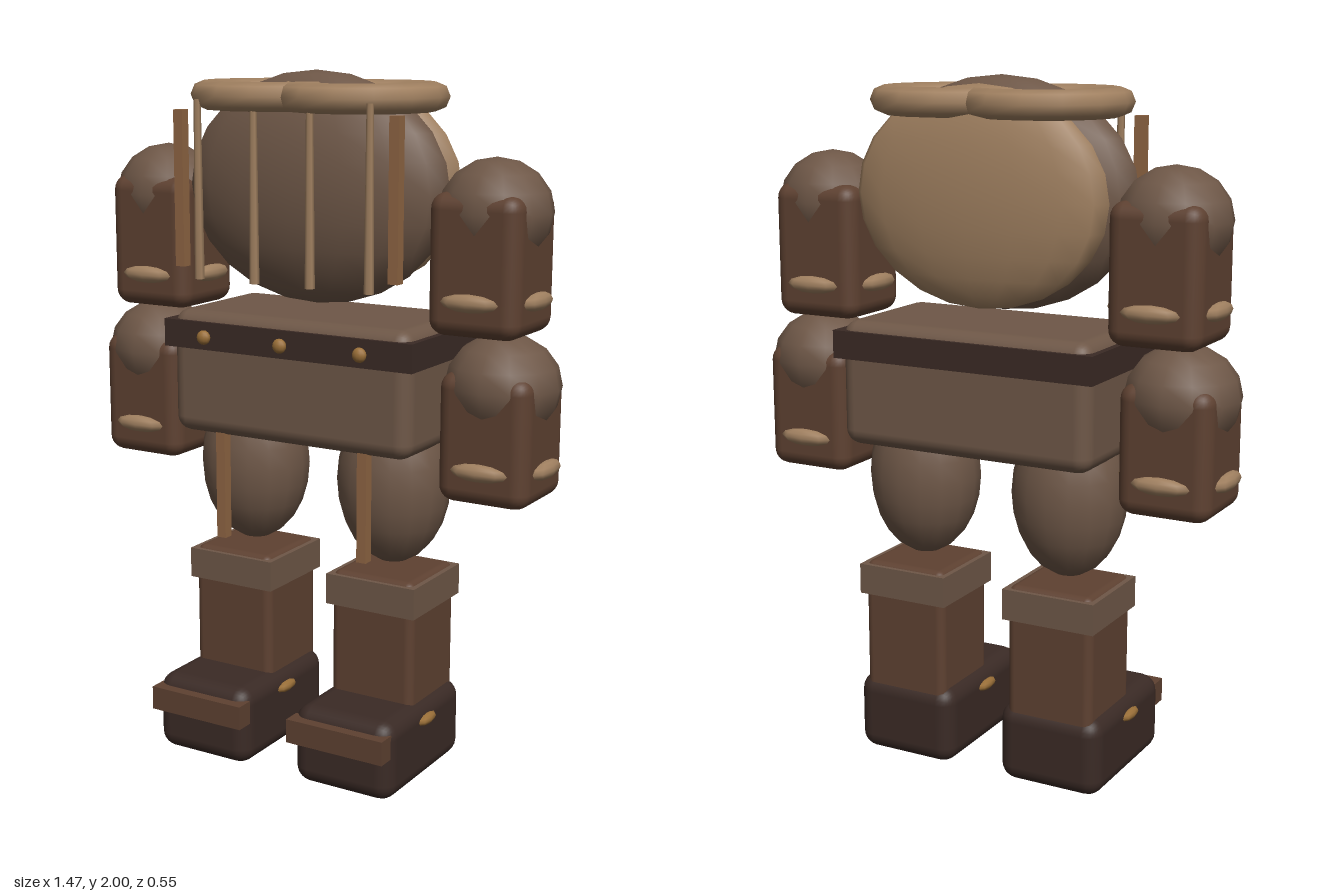
import * as THREE from 'three';
import { RoundedBoxGeometry } from 'three/addons/geometries/RoundedBoxGeometry.js';

const mat = (color) => new THREE.MeshStandardMaterial({ color, side: THREE.DoubleSide });
const fur = mat(0x6e5747), tan = mat(0xa08060), leather = mat(0x5e4131);
const dark = mat(0x3a2a25), wood = mat(0x8f6543), brass = mat(0x9a6f38);
const ZC = -0.057; // depth of the body's middle plane

export function createModel() {
  const root = new THREE.Group();
  root.name = 'armouredFigure';

  const add = (parent, name, geometry, material, x, y, z) => {
    const mesh = new THREE.Mesh(geometry, material);
    mesh.name = name;
    mesh.position.set(x, y, z);
    parent.add(mesh);
    return mesh;
  };
  const box = (w, h, d) => new THREE.BoxGeometry(w, h, d);
  const round = (w, h, d, r) => new RoundedBoxGeometry(w, h, d, 3, r);
  const ellipsoid = (rx, ry, rz, ws = 12, hs = 8) =>
    new THREE.SphereGeometry(1, ws, hs).scale(rx, ry, rz);
  const group = (name) => {
    const g = new THREE.Group();
    g.name = name;
    root.add(g);
    return g;
  };

  // Torso with a paler shell on its back
  const torso = group('torso');
  add(torso, 'chest', ellipsoid(0.42, 0.325, 0.15, 16, 12), fur, 0, 1.675, -0.02);
  add(torso, 'backShell', ellipsoid(0.39, 0.305, 0.085, 16, 12), tan, 0, 1.675, -0.15);

  // Pelvis, belt and studs
  const hips = group('hips');
  add(hips, 'pelvis', round(0.78, 0.36, 0.42, 0.045), fur, 0, 1.143, ZC);
  add(hips, 'belt', box(0.81, 0.08, 0.435), dark, 0, 1.255, ZC);
  for (const x of [-0.255, 0, 0.255])
    add(hips, 'beltStud', ellipsoid(0.021, 0.021, 0.016), brass, x, 1.255, 0.18);

  // Thin rods hanging in front of the chest
  for (const x of [-0.275, -0.09, 0.09, 0.275])
    add(torso, 'chestRod', new THREE.CylinderGeometry(0.01, 0.014, 0.5, 6), tan, x, 1.67, 0.165);

  // One arm segment: sleeve, round cap and four clasps near the cuff
  const armSegment = (s, name, x, bottom, top, capX, capY, cap) => {
    const arm = group(name);
    const h = top - bottom;
    add(arm, 'sleeve', round(0.27, h, 0.265, 0.045), leather, s * x, bottom + h / 2, ZC);
    add(arm, 'cap', ellipsoid(...cap), fur, s * capX, capY, ZC);
    for (let i = 0; i < 4; i++) {
      const a = (i * Math.PI) / 2;
      const clasp = add(arm, 'clasp', ellipsoid(0.085, 0.025, 0.025, 8, 6), tan,
        s * x + Math.sin(a) * 0.138, bottom + 0.098, ZC + Math.cos(a) * 0.135);
      clasp.rotation.y = a;
    }
  };

  for (const s of [-1, 1]) {
    const side = s > 0 ? 'left' : 'right';

    // Collar: two open rings that cross at the front and back
    const gap = Math.PI / 8;
    const ring = new THREE.TorusGeometry(0.203, 0.04, 8, 12, Math.PI * 2 - 2 * gap);
    ring.rotateZ(gap + (s > 0 ? Math.PI : 0)).rotateX(Math.PI / 2);
    add(torso, side + 'Collar', ring, tan, s * 0.139, 1.93, -0.027);

    // Outer chest post
    add(torso, side + 'ChestPost', box(0.03, 0.44, 0.03), wood, s * 0.345, 1.67, 0.147);

    armSegment(s, side + 'UpperArm', 0.528, 1.305, 1.69, 0.538, 1.635, [0.16, 0.145, 0.143]);
    armSegment(s, side + 'Forearm', 0.567, 0.848, 1.21, 0.572, 1.165, [0.163, 0.145, 0.155]);

    // Leg: thigh with its strip, shin with cuff
    const leg = group(side + 'Leg');
    add(leg, 'thigh', ellipsoid(0.167, 0.24, 0.152, 16, 12), fur, s * 0.236, 0.85, ZC);
    add(leg, 'thighStrip', box(0.03, 0.335, 0.03), wood, s * 0.236, 0.82, 0.115);
    add(leg, 'shin', round(0.265, 0.42, 0.265, 0.025), leather, s * 0.238, 0.385, ZC);
    add(leg, 'shinCuff', box(0.285, 0.09, 0.282), fur, s * 0.238, 0.54, ZC);

    // Boot with toe strap and side buckles
    const boot = group(side + 'Boot');
    add(boot, 'shoe', round(0.32, 0.235, 0.45, 0.05), dark, s * 0.238, 0.1175, 0.025);
    add(boot, 'toeStrap', box(0.31, 0.07, 0.055), leather, s * 0.235, 0.168, 0.25);
    for (const k of [-1, 1])
      add(boot, 'buckle', ellipsoid(0.016, 0.016, 0.048, 8, 6), brass,
        s * 0.238 + k * 0.16, 0.185, 0.025);
  }
  return root;
}
